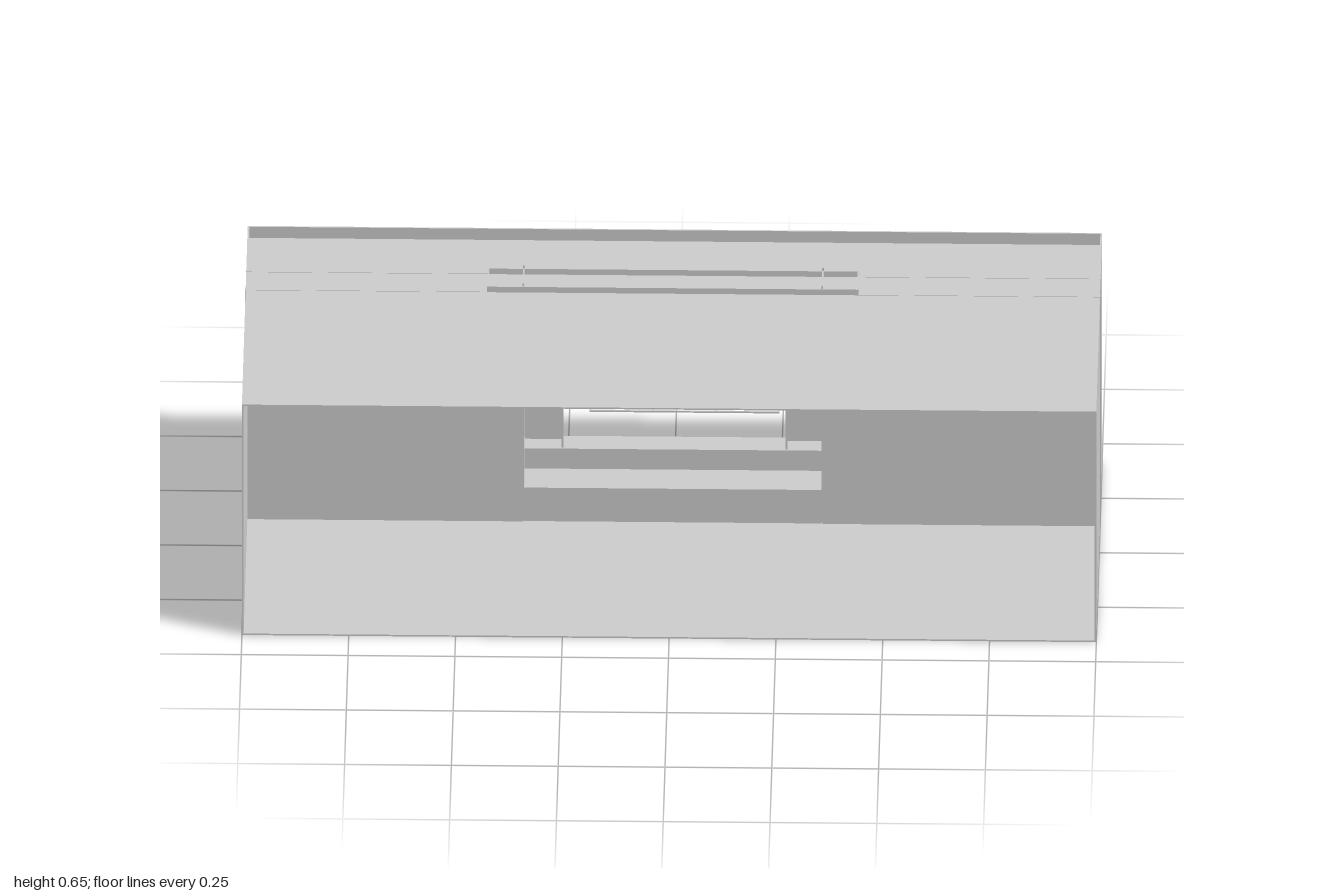
import * as THREE from 'three';

const MAT = new THREE.MeshStandardMaterial({ color: 0xcccccc, flatShading: true, side: THREE.DoubleSide });
const T = 0.004; // sheet thickness

export function createModel() {
  const root = new THREE.Group();

  // box given by its min and max on each axis
  function block(name, x0, x1, y0, y1, z0, z1) {
    const m = new THREE.Mesh(new THREE.BoxGeometry(x1 - x0, y1 - y0, z1 - z0), MAT);
    m.position.set((x0 + x1) / 2, (y0 + y1) / 2, (z0 + z1) / 2);
    m.name = name;
    root.add(m);
  }
  // the same box on both sides of x = 0
  function pair(name, x0, x1, ...rest) {
    block(name + 'Left', x0, x1, ...rest);
    block(name + 'Right', -x1, -x0, ...rest);
  }
  // upright sheet from an outline, spanning z0..z1
  function sheet(name, pts, z0, z1) {
    const shape = new THREE.Shape(pts.map(([x, y]) => new THREE.Vector2(x, y)));
    const g = new THREE.ExtrudeGeometry(shape, { depth: z1 - z0, bevelEnabled: false });
    const m = new THREE.Mesh(g, MAT);
    m.position.z = z0;
    m.name = name;
    root.add(m);
  }
  // wall outline with an opening cut up from its bottom edge
  const doorway = (w, bottom, top, ow, oTop) => [
    [-w, bottom], [-ow, bottom], [-ow, oTop], [ow, oTop], [ow, bottom], [w, bottom], [w, top], [-w, top]];

  const H = 0.627, LEDGE = 0.063, BACK = -0.41, SLOT = -0.355;

  // outer shell, open at the front
  pair('sideWall', 1 - T, 1, 0, H, BACK, 0.41);
  block('floor', -1 + T, 1 - T, 0, T, SLOT, 0.41);
  block('roof', -1 + T, 1 - T, H - T, H, SLOT, 0.41);

  // step at the foot of the rear wall
  block('rearStepRiser', -1 + T, 1 - T, T, LEDGE, SLOT, SLOT + T);
  block('rearStepLedge', -1 + T, 1 - T, LEDGE - T, LEDGE, BACK, SLOT + T);

  // rear wall with a shallow recess and a window in it
  sheet('rearWall', doorway(1 - T, LEDGE, H, 0.35, 0.377), BACK, BACK + T);
  sheet('recessPanel', doorway(0.35, LEDGE, 0.377, 0.26, 0.255), -0.399, -0.395);
  pair('recessSide', 0.35 - T, 0.35, LEDGE, 0.377, BACK, -0.395);
  block('recessTop', -0.35, 0.35, 0.377, 0.377 + T, BACK, -0.395);
  pair('windowJamb', 0.26, 0.26 + T, LEDGE, 0.255, -0.397, SLOT);
  block('windowHead', -0.26, 0.26, 0.255, 0.255 + T, -0.397, SLOT);

  // two partition skins, raised a little above the roof in the middle
  const skins = [['frontPartition', -0.124, -0.115], ['rearPartition', -0.207, -0.198]];
  for (const [name, z0, z1] of skins) {
    sheet(name, doorway(1.001, 0, H + 0.001, 0.35, 0.325), z0, z1);
    block(name + 'Crown', -0.435, 0.435, H, 0.642, z0, z1);
    // small pins standing on the crown
    const zc = (z0 + z1) / 2;
    pair(name + 'Pin', 0.348, 0.352, 0.642, 0.65, zc - 0.002, zc + 0.002);
  }

  // lining and posts between the skins
  pair('openingJamb', 0.348, 0.352, 0, 0.642, -0.2, -0.122);
  pair('postSide', 0.435 - T, 0.435, 0, 0.642, -0.2, -0.122);
  block('openingHead', -0.35, 0.35, 0.323, 0.327, -0.2, -0.122);
  block('sill', -0.348, 0.348, 0, 0.095, -0.205, -0.117);

  // thin grille below the head of the opening
  for (const z of [-0.118, -0.16]) block('grilleRail', -0.195, 0.25, 0.303, 0.307, z - 0.002, z + 0.002);
  for (let i = 0; i < 4; i++) {
    const x = -0.193 + i * 0.147;
    block('grilleBar', x - 0.002, x + 0.002, 0.303, 0.307, -0.158, -0.12);
  }
  return root;
}
